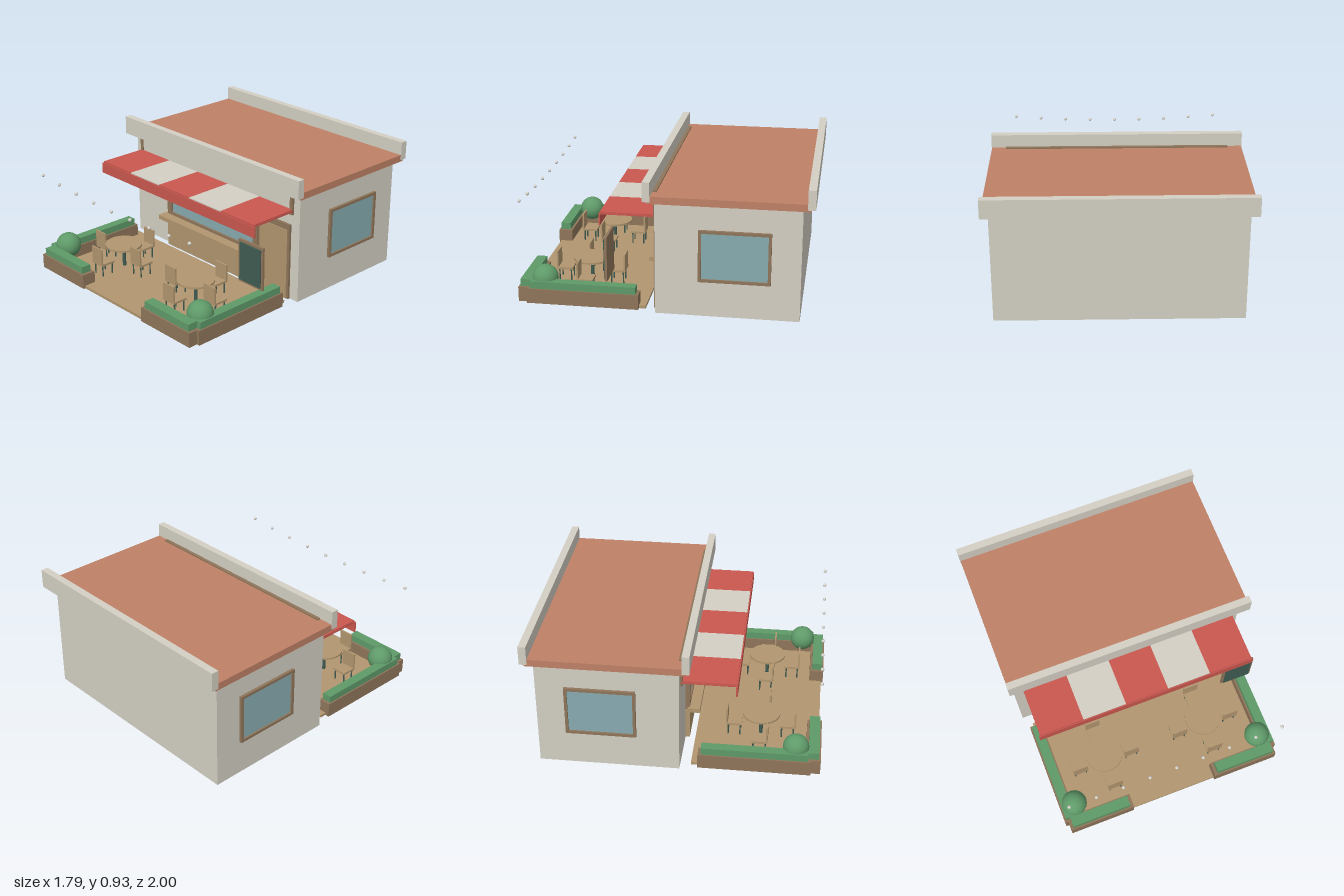
import * as THREE from 'three';

const mat = (name, color) => {
  const m = new THREE.MeshStandardMaterial({ color });
  m.name = name;
  return m;
};

export function createModel() {
  const root = new THREE.Group();
  root.name = 'cafe';
  const plaster = mat('plaster', 0xd3cfc3);
  const terracotta = mat('terracotta', 0xbf8166);
  const brown = mat('darkWood', 0x8f755a);
  const tan = mat('lightWood', 0xb1966f);
  const red = mat('awningRed', 0xc9574f);
  const glass = mat('glass', 0x87abb0);
  const green = mat('foliage', 0x5f9a69);
  const dark = mat('darkGreen', 0x405c52);
  const bulbMat = mat('bulb', 0xd8d5cc);

  const add = (name, geo, m, x, y, z, parent = root) => {
    const mesh = new THREE.Mesh(geo, m);
    mesh.name = name;
    mesh.position.set(x, y, z);
    parent.add(mesh);
    return mesh;
  };
  // Box given by its extents on each axis
  const box = (name, m, x0, x1, y0, y1, z0, z1, parent = root) =>
    add(name, new THREE.BoxGeometry(x1 - x0, y1 - y0, z1 - z0), m,
      (x0 + x1) / 2, (y0 + y1) / 2, (z0 + z1) / 2, parent);
  // Rectangular frame in the xy plane, w x h outside, bar width b
  const frame = (name, m, w, h, b, depth, x, y, z, parent = root) => {
    const s = new THREE.Shape();
    s.moveTo(-w / 2, -h / 2).lineTo(w / 2, -h / 2).lineTo(w / 2, h / 2).lineTo(-w / 2, h / 2).closePath();
    const p = w / 2 - b, q = h / 2 - b;
    s.holes.push(new THREE.Path().moveTo(-p, -q).lineTo(-p, q).lineTo(p, q).lineTo(p, -q).closePath());
    return add(name, new THREE.ExtrudeGeometry(s, { depth, bevelEnabled: false }), m, x, y, z, parent);
  };

  // Building and roof
  box('walls', plaster, -0.845, 0.845, 0, 0.785, -0.92, 0.045);
  box('roofSlab', terracotta, -0.89, 0.89, 0.785, 0.835, -0.97, 0.09);
  box('frontParapet', plaster, -0.893, 0.893, 0.797, 0.93, 0.067, 0.118);
  box('rearParapet', plaster, -0.893, 0.893, 0.797, 0.93, -1, -0.948);

  // Fascia board with a pale face
  frame('fasciaFrame', brown, 1.58, 0.205, 0.025, 0.025, 0, 0.742, 0.038);
  box('fasciaPanel', plaster, -0.765, 0.765, 0.66, 0.825, 0.04, 0.055);

  // Awning with coloured stripes and a valance
  box('awningBase', red, -0.79, 0.79, 0.66, 0.67, 0.05, 0.42);
  for (let i = 0; i < 5; i++) {
    const x = -0.787 + i * 0.3148;
    box('awningStripe', i % 2 ? plaster : red, x, x + 0.3148, 0.67, 0.678, 0.05, 0.42);
  }
  box('awningValance', red, -0.798, 0.798, 0.588, 0.666, 0.416, 0.427);

  // Serving window, shelf and panel
  frame('servingWindowFrame', brown, 0.95, 0.385, 0.042, 0.03, 0, 0.428, 0.045);
  box('servingWindowGlass', glass, -0.435, 0.435, 0.27, 0.6, 0.045, 0.06);
  box('servingShelf', tan, -0.495, 0.495, 0.225, 0.257, 0.06, 0.148);
  box('servingPanel', tan, -0.475, 0.475, 0, 0.225, 0.045, 0.075);

  // Door
  box('doorFrame', brown, 0.475, 0.77, 0, 0.56, 0.045, 0.062);
  box('doorLeaf', tan, 0.492, 0.753, 0, 0.518, 0.06, 0.068);
  add('doorKnob', new THREE.SphereGeometry(0.008, 12, 8), brown, 0.52, 0.257, 0.073);

  // Side windows
  for (const s of [-1, 1]) {
    const win = new THREE.Group();
    win.name = 'sideWindow';
    win.position.set(s * 0.845, 0.43, -0.485);
    win.rotation.y = s * Math.PI / 2;
    root.add(win);
    frame('sideWindowFrame', brown, 0.48, 0.36, 0.02, 0.02, 0, 0, 0, win);
    box('sideWindowGlass', glass, -0.222, 0.222, -0.162, 0.162, 0, 0.008, win);
  }

  // Menu board
  box('menuBoard', brown, 0.61, 0.838, 0.202, 0.513, 0.368, 0.385);
  box('menuBoardFace', dark, 0.627, 0.823, 0.218, 0.495, 0.385, 0.393);

  // Deck
  box('deck', tan, -0.79, 0.79, 0, 0.02, 0.118, 0.985);

  // Planters, hedges and round bushes
  for (const s of [-1, 1]) {
    const g = new THREE.Group();
    g.name = 'planterCorner';
    root.add(g);
    const mbox = (name, m, a, b, ...r) => box(name, m, Math.min(s * a, s * b), Math.max(s * a, s * b), ...r, g);
    mbox('sidePlanter', brown, 0.73, 0.82, 0, 0.105, 0.165, 0.935);
    mbox('frontPlanter', brown, 0.317, 0.797, 0, 0.104, 0.898, 1);
    mbox('sideHedge', green, 0.742, 0.81, 0.1, 0.156, 0.185, 0.915);
    mbox('frontHedge', green, 0.342, 0.777, 0.1, 0.155, 0.915, 0.988);
    add('bush', new THREE.SphereGeometry(0.09, 32, 20), green, s * 0.713, 0.155, 0.828, g);
  }

  // Chair with its back on the side given by dir
  const chair = (x, z, dir) => {
    const g = new THREE.Group();
    g.name = 'chair';
    g.position.set(x, 0, z);
    root.add(g);
    box('seat', tan, -0.054, 0.054, 0.103, 0.118, -0.055, 0.055, g);
    const back = box('chairBack', tan, -0.054, 0.054, 0.11, 0.235, -0.006, 0.006, g);
    back.position.z = dir * 0.052;
    for (const lx of [-0.042, 0.042]) for (const lz of [-0.042, 0.042])
      add('chairLeg', new THREE.CylinderGeometry(0.005, 0.005, 0.1, 8), dark, lx, 0.055, lz, g);
  };

  // Tables with four chairs each
  for (const s of [-1, 1]) {
    const x = s * 0.388, z = 0.573;
    add('tableTop', new THREE.CylinderGeometry(0.132, 0.132, 0.014, 32), tan, x, 0.187, z);
    add('tablePost', new THREE.CylinderGeometry(0.013, 0.013, 0.17, 12), dark, x, 0.097, z);
    chair(x - 0.198, z, 1);
    chair(x + 0.198, z, 1);
    chair(x, z + 0.188, 1);
    chair(x, z - 0.188, -1);
  }

  // Hanging bulbs along a gentle sag
  const bulbGeo = new THREE.SphereGeometry(0.012, 12, 8);
  for (let i = -4; i <= 4; i++)
    add('lightBulb', bulbGeo, bulbMat, i * 0.194, 0.687 + 0.033 * (i / 4) ** 2, 0.97);

  return root;
}
